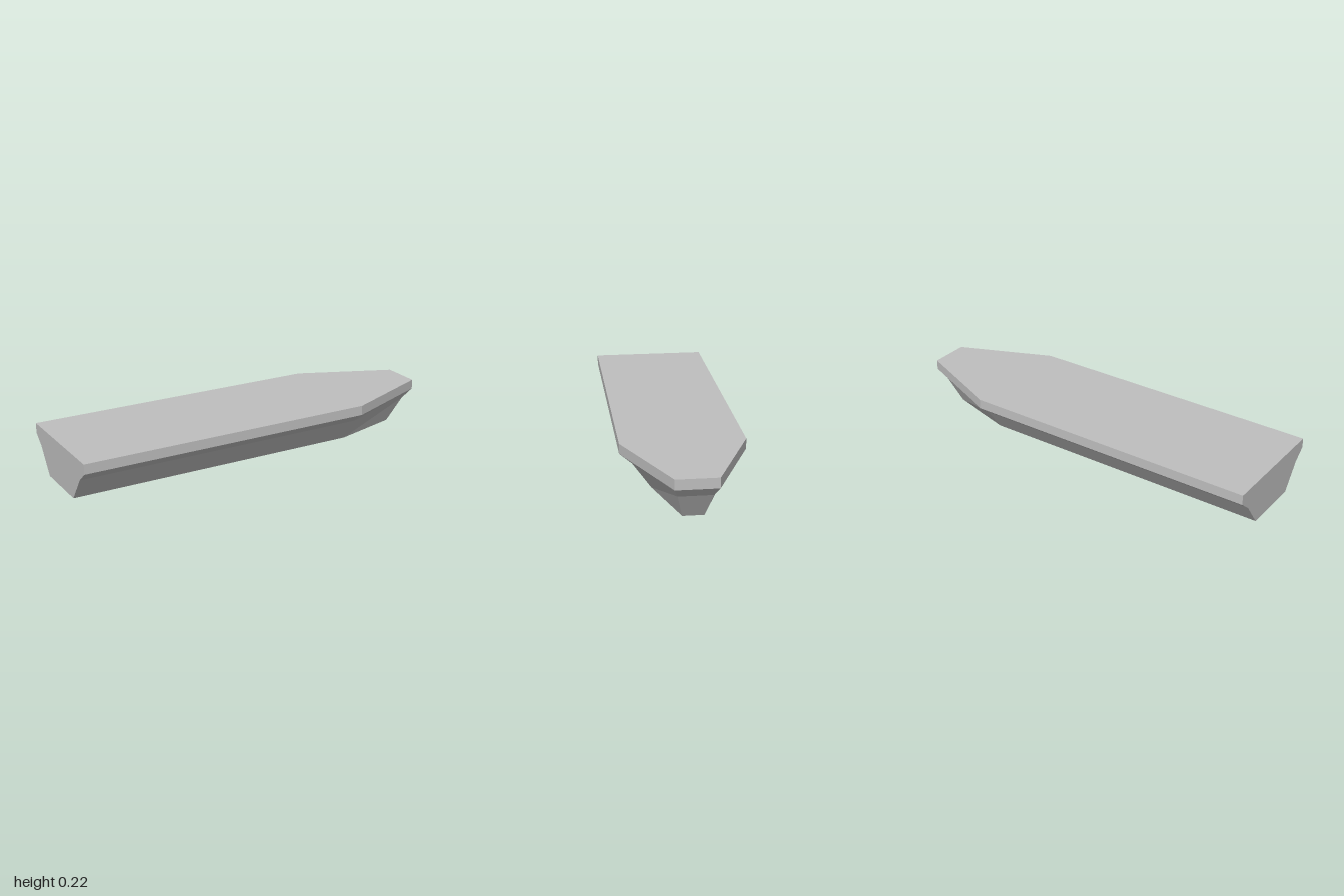
import * as THREE from 'three';

// Each level: height, half width amidships, half width at the bow, x of the bow tip
const LEVELS = [
  { y: 0, side: 0.15, bow: 0.05, tip: 0.875 },
  { y: 0.125, side: 0.24, bow: 0.08, tip: 0.95 },
  { y: 0.175, side: 0.3, bow: 0.1, tip: 1 },
  { y: 0.225, side: 0.3, bow: 0.1, tip: 1 },
];
const STERN = -1, SHOULDER = 0.525;

// Six-cornered outline, counter-clockwise seen from above
function outline({ y, side, bow, tip }) {
  const half = [[STERN, side], [SHOULDER, side], [tip, bow]];
  const near = half.map(([x, z]) => new THREE.Vector3(x, y, z));
  const far = half.map(([x, z]) => new THREE.Vector3(x, y, -z)).reverse();
  return [...near, ...far];
}

// Joins stacked outlines with flat panels and closes the requested ends
function loft(levels, capBottom, capTop) {
  const rings = levels.map(outline);
  const points = [];
  for (let k = 0; k < rings.length - 1; k++) {
    const a = rings[k], b = rings[k + 1];
    for (let i = 0; i < a.length; i++) {
      const j = (i + 1) % a.length;
      points.push(a[i], a[j], b[j], a[i], b[j], b[i]);
    }
  }
  const top = rings[rings.length - 1], bottom = rings[0];
  for (let i = 1; i < top.length - 1; i++) {
    if (capTop) points.push(top[0], top[i], top[i + 1]);
    if (capBottom) points.push(bottom[0], bottom[i + 1], bottom[i]);
  }
  const geometry = new THREE.BufferGeometry().setFromPoints(points);
  geometry.computeVertexNormals();
  return geometry;
}

export function createModel() {
  const group = new THREE.Group();
  group.name = 'boatHull';
  const grey = new THREE.MeshStandardMaterial({ color: 0xbfbfbf });
  grey.name = 'hullGrey';

  // Flared lower hull with flat bottom
  const hull = new THREE.Mesh(loft(LEVELS.slice(0, 3), true, false), grey);
  hull.name = 'lowerHull';

  // Upright band around the flat deck
  const deck = new THREE.Mesh(loft(LEVELS.slice(2), false, true), grey);
  deck.name = 'deck';

  group.add(hull, deck);
  return group;
}
